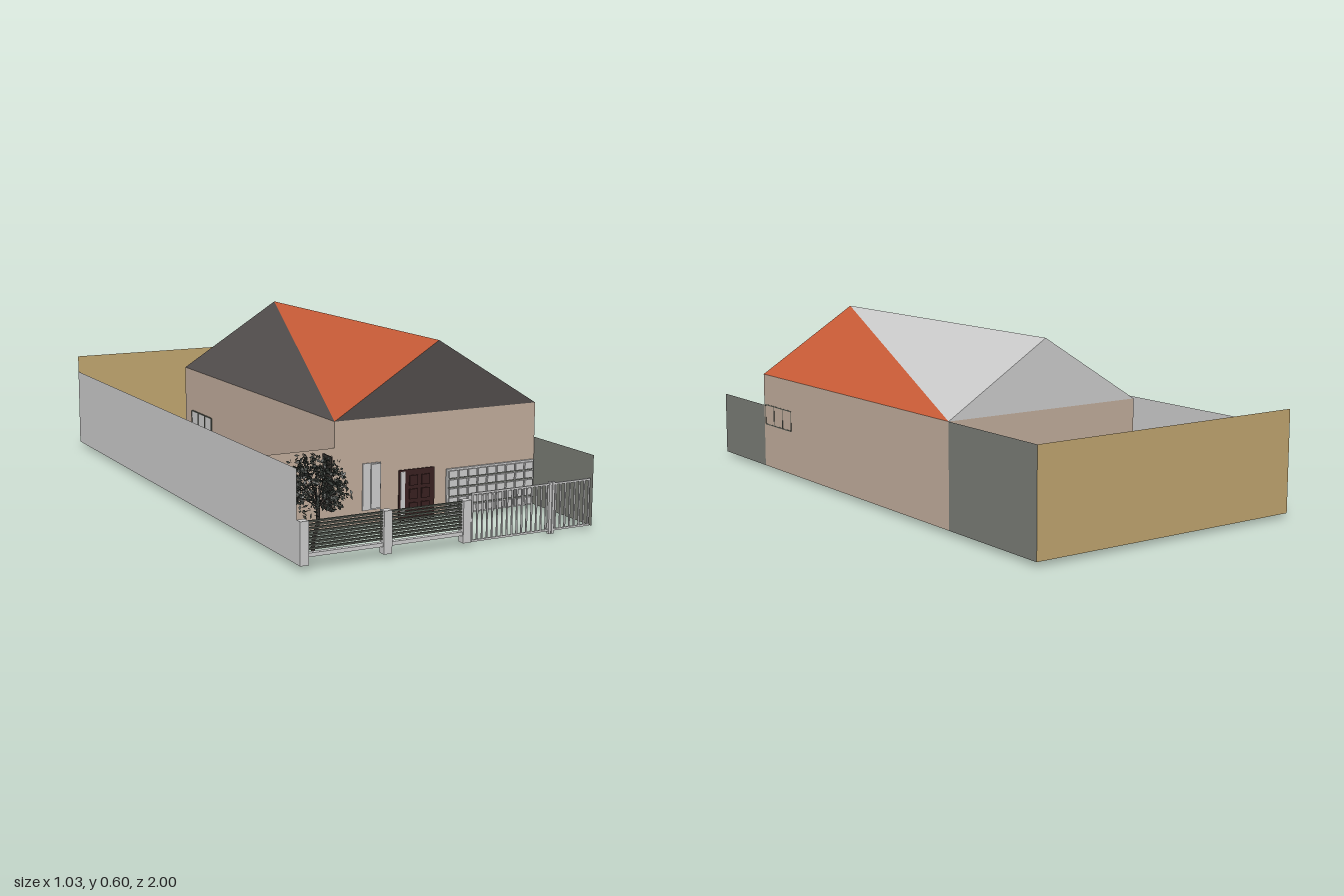
import * as THREE from 'three';

const mat = (name, color, side = THREE.DoubleSide) => {
  const m = new THREE.MeshStandardMaterial({ color, side });
  m.name = name;
  return m;
};

export function createModel() {
  const root = new THREE.Group();
  root.name = 'house';
  const M = {
    plaster: mat('plaster', 0xbfab9a),
    tan: mat('tanWall', 0xbfa46e),
    stone: mat('greyGreenWall', 0x787b74),
    pale: mat('paleGrey', 0xcacaca),
    orange: mat('orangeTile', 0xc65a36),
    dark: mat('darkRoof', 0x504b4a),
    maroon: mat('maroonDoor', 0x38201f),
    rail: mat('railing', 0x565a52),
    leaf: mat('leaf', 0x343a35),
    bark: mat('bark', 0x35302d),
  };

  // flat polygon from 3 or 4 corners
  const poly = (name, m, ...pts) => {
    const g = new THREE.BufferGeometry();
    g.setAttribute('position', new THREE.Float32BufferAttribute(pts.flat(), 3));
    g.setIndex(pts.length === 4 ? [0, 1, 2, 0, 2, 3] : [0, 1, 2]);
    g.computeVertexNormals();
    const mesh = new THREE.Mesh(g, m);
    mesh.name = name;
    root.add(mesh);
  };
  // box between two corners
  const box = (name, m, x0, x1, y0, y1, z0, z1, parent = root) => {
    const mesh = new THREE.Mesh(new THREE.BoxGeometry(x1 - x0, y1 - y0, z1 - z0), m);
    mesh.position.set((x0 + x1) / 2, (y0 + y1) / 2, (z0 + z1) / 2);
    mesh.name = name;
    parent.add(mesh);
    return mesh;
  };
  const wallX = (name, m, x, z0, z1, h) =>
    poly(name, m, [x, Y, z1], [x, Y, z0], [x, h, z0], [x, h, z1]);
  const wallZ = (name, m, z, x0, x1, h) =>
    poly(name, m, [x0, Y, z], [x1, Y, z], [x1, h, z], [x0, h, z]);
  const floor = (name, m, y, x0, x1, z0, z1) =>
    poly(name, m, [x0, y, z1], [x1, y, z1], [x1, y, z0], [x0, y, z0]);

  const Y = 0.015, EAVE = 0.362, RIDGE = 0.595;
  const L = -0.518, H = -0.24, R = 0.515, MID = 0.137;
  const ZF = 0.675, ZB = -0.55;

  // yard paving around the open-bottomed house
  floor('backYard', M.plaster, Y, L, R, -1, ZB);
  floor('sideAlley', M.plaster, Y, L, H, ZB, ZF);

  // house walls and ceiling
  wallZ('frontWall', M.plaster, ZF, H, R, EAVE);
  wallZ('backHouseWall', M.plaster, ZB, H, R, EAVE);
  wallX('alleyHouseWall', M.plaster, H, ZB, ZF, EAVE);
  wallX('outerHouseWall', M.plaster, R, ZB, ZF, EAVE);
  wallZ('alleyFrontWall', M.plaster, ZF, L, H, 0.278);
  floor('ceiling', M.pale, EAVE - 0.002, H, R, ZB, ZF);

  // boundary walls
  wallX('longBoundaryWall', M.pale, L, -1, 0.97, 0.3);
  wallX('backYardWall', M.stone, R, -1, ZB, EAVE);
  wallX('frontYardWall', M.stone, R, ZF, 1, 0.245);
  wallZ('rearBoundaryWall', M.tan, -1, L, R, EAVE);

  // roof: each slope is two coloured triangles
  const rf = [MID, RIDGE, ZF], rb = [MID, RIDGE, ZB];
  const lf = [H, EAVE, ZF], lb = [H, EAVE, ZB], ef = [R, EAVE, ZF], eb = [R, EAVE, ZB];
  poly('darkSlope', M.dark, lb, lf, rb);
  poly('orangeSlopeLower', M.orange, lf, rf, rb);
  poly('paleSlope', M.pale, rf, eb, rb);
  poly('orangeSlopeOuter', M.orange, rf, ef, eb);
  poly('frontGable', M.dark, lf, ef, rf);
  poly('backGable', M.pale, eb, lb, rb);

  // front door with sidelight
  box('frontDoor', M.maroon, -0.008, 0.125, Y, 0.183, ZF - 0.004, ZF + 0.004);
  box('doorSidelight', M.pale, -0.002, 0.014, 0.03, 0.178, ZF - 0.006, ZF + 0.006);
  for (const x of [0.045, 0.09])
    for (const y of [0.04, 0.085, 0.13])
      box('doorPanel', M.maroon, x - 0.015, x + 0.015, y, y + 0.033, ZF + 0.004, ZF + 0.008);

  // front window with shutter
  box('frontWindow', M.pale, -0.14, -0.075, 0.065, 0.218, ZF - 0.004, ZF + 0.004);
  box('windowShutter', M.pale, -0.112, -0.078, 0.07, 0.215, ZF + 0.004, ZF + 0.009);

  // garage door with raised panel grid
  box('garageDoor', M.pale, 0.17, 0.51, Y, 0.17, ZF - 0.004, ZF + 0.008);
  for (let r = 0; r < 5; r++)
    for (let c = 0; c < 9; c++) {
      const x = 0.176 + c * 0.037, y = 0.02 + r * 0.03;
      box('garagePanel', M.pale, x, x + 0.031, y, y + 0.024, ZF + 0.008, ZF + 0.014);
    }
  for (let r = 1; r < 5; r++)
    box('garageGroove', M.rail, 0.175, 0.505, 0.0155 + r * 0.03, 0.0185 + r * 0.03, ZF + 0.008, ZF + 0.009);

  // windows on the side walls: plate plus frame bars
  const sideWindow = (name, m, x, y0, y1, z0, z1, panes) => {
    const g = new THREE.Group();
    g.name = name;
    box('glass', m, x - 0.002, x + 0.002, y0, y1, z0, z1, g);
    for (let i = 0; i <= panes; i++) {
      const z = z0 + ((z1 - z0) * i) / panes;
      box('frameUpright', M.rail, x - 0.004, x + 0.004, y0, y1, z - 0.002, z + 0.002, g);
    }
    for (const y of [y0, y1]) box('frameRail', M.rail, x - 0.004, x + 0.004, y - 0.002, y + 0.002, z0, z1, g);
    root.add(g);
  };
  sideWindow('outerWindow', M.pale, R - 0.003, 0.175, 0.248, 0.47, 0.665, 3);
  sideWindow('alleyBackWindow', M.pale, H, 0.12, 0.205, -0.485, -0.3, 3);
  sideWindow('alleyFrontWindow', M.pale, H, 0.095, 0.195, 0.37, 0.43, 1);
  box('windowInside', M.orange, H + 0.002, H + 0.005, 0.1, 0.19, 0.375, 0.425);

  // rear openings
  box('rearDoor', M.pale, 0.23, 0.325, Y, 0.205, ZB - 0.004, ZB + 0.004);
  box('rearWindow', M.pale, 0.395, 0.46, 0.145, 0.25, ZB - 0.004, ZB + 0.004);
  box('rearWindowMullion', M.rail, 0.425, 0.43, 0.145, 0.25, ZB - 0.006, ZB + 0.004);

  // open leaf at the alley entrance
  box('alleyLeaf', M.bark, -0.282, -0.278, 0.09, 0.265, ZF, 0.735);

  // small bench in the back yard
  box('benchTop', M.pale, -0.41, -0.355, 0.065, 0.075, -0.85, -0.81);
  box('benchEnd', M.pale, -0.43, -0.414, 0.06, 0.075, -0.85, -0.81);
  for (const x of [-0.427, -0.36])
    for (const z of [-0.846, -0.814])
      box('benchLeg', M.rail, x - 0.003, x + 0.003, 0.012, 0.066, z - 0.003, z + 0.003);

  // street fence: posts, slats and base beam
  const ZG = 0.982;
  for (const x of [-0.505, -0.227, 0.05])
    box('fencePost', M.pale, x - 0.014, x + 0.014, Y, 0.148, ZG - 0.013, ZG + 0.013);
  for (const [x0, x1] of [[-0.491, -0.241], [-0.213, 0.036]]) {
    box('fenceBeam', M.pale, x0, x1, 0.038, 0.05, ZG - 0.008, ZG + 0.008);
    for (let i = 0; i < 9; i++)
      box('fenceSlat', M.rail, x0, x1, 0.058 + i * 0.0102, 0.0635 + i * 0.0102, ZG - 0.004, ZG + 0.004);
  }

  // gate with vertical bars and latch post
  const ZT = 0.99;
  for (const y of [0.018, 0.166]) box('gateRail', M.pale, 0.068, 0.51, y - 0.003, y + 0.003, ZT - 0.003, ZT + 0.003);
  for (let i = 0; i <= 24; i++) {
    const x = 0.07 + i * 0.0182;
    box('gateBar', M.pale, x - 0.0025, x + 0.0025, 0.018, 0.168, ZT - 0.002, ZT + 0.002);
  }
  for (const x of [0.356, 0.368]) box('latchPost', M.pale, x - 0.004, x + 0.004, 0.006, 0.174, ZT - 0.005, ZT + 0.005);

  // tree: bent trunk, branches and leaf clusters
  let seed = 7;
  const rnd = () => (seed = (seed * 16807) % 2147483647) / 2147483647;
  const tree = new THREE.Group();
  tree.name = 'tree';
  const V = (x, y, z) => new THREE.Vector3(x, y, z);
  const limb = (name, pts, r) => {
    const mesh = new THREE.Mesh(new THREE.TubeGeometry(new THREE.CatmullRomCurve3(pts), 8, r, 6), M.bark);
    mesh.name = name;
    tree.add(mesh);
  };
  const fork = V(-0.385, 0.14, 0.845);
  limb('trunk', [V(-0.4, 0, 0.84), V(-0.396, 0.05, 0.84), V(-0.386, 0.09, 0.845), fork], 0.006);
  const pos = [];
  for (let i = 0; i < 26; i++) {
    const a = i * 2.4, t = (i + 0.5) / 26, rad = 0.078 * Math.sqrt(1 - (1.5 * t - 0.55) ** 2) * (0.75 + 0.35 * rnd());
    const tip = V(-0.392 + Math.cos(a) * rad, 0.15 + t * 0.135, 0.845 + Math.sin(a) * rad);
    if (i % 2 === 0) limb('branch', [fork, fork.clone().lerp(tip, 0.5).add(V(0, 0.012, 0)), tip], 0.002);
    for (let k = 0; k < 34; k++) {
      const c = tip.clone().add(V(rnd() - 0.5, rnd() - 0.5, rnd() - 0.5).multiplyScalar(0.05));
      const u = V(rnd() - 0.5, rnd() - 0.5, rnd() - 0.5).normalize().multiplyScalar(0.009);
      const w = V(rnd() - 0.5, rnd() - 0.5, rnd() - 0.5).cross(u).normalize().multiplyScalar(0.0045);
      const q = [c.clone().add(u), c.clone().add(w), c.clone().sub(u), c.clone().sub(w)];
      for (const j of [0, 1, 2, 0, 2, 3]) pos.push(q[j].x, q[j].y, q[j].z);
    }
  }
  const lg = new THREE.BufferGeometry();
  lg.setAttribute('position', new THREE.Float32BufferAttribute(pos, 3));
  lg.computeVertexNormals();
  const leaves = new THREE.Mesh(lg, M.leaf);
  leaves.name = 'leaves';
  tree.add(leaves);
  root.add(tree);
  return root;
}
